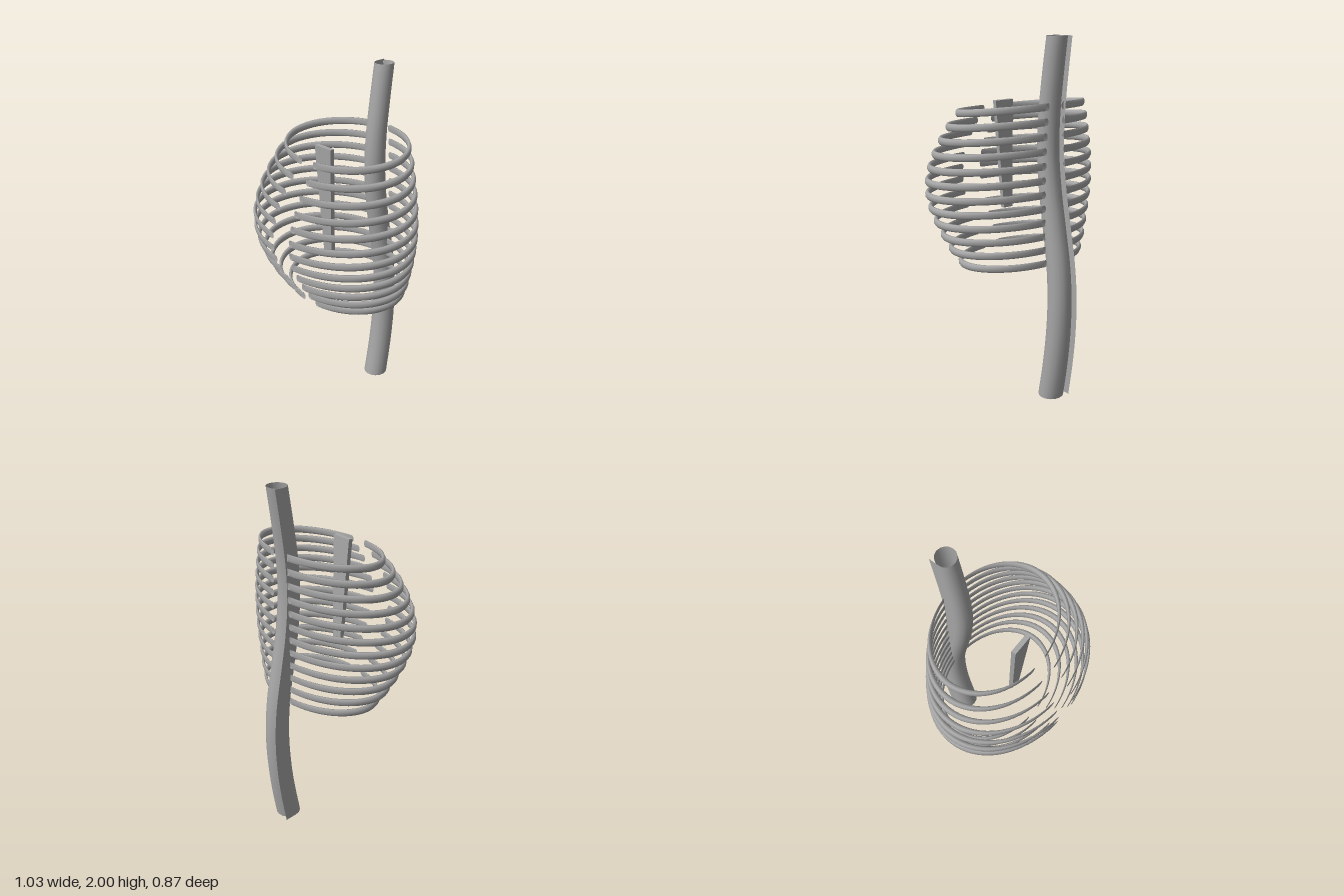
import * as THREE from 'three';

// Surface through a list of cross-sections, each an array of [x, y, z].
function loft(sections, closed) {
  const n = sections[0].length, index = [];
  const spans = closed ? n : n - 1;
  for (let i = 0; i < sections.length - 1; i++) {
    for (let j = 0; j < spans; j++) {
      const k = (j + 1) % n;
      const a = i * n + j, b = i * n + k, c = a + n, d = b + n;
      index.push(a, c, b, b, c, d);
    }
  }
  const g = new THREE.BufferGeometry();
  g.setAttribute('position', new THREE.Float32BufferAttribute(sections.flat(2), 3));
  g.setIndex(index);
  g.computeVertexNormals();
  return g;
}

// Curved column: an open ring whose last edge runs on as a straight flap.
function spineGeometry() {
  const path = new THREE.CatmullRomCurve3([
    [0, -0.305], [0.2, -0.338], [0.4, -0.36], [0.6, -0.366], [0.8, -0.35], [1, -0.314],
    [1.2, -0.278], [1.4, -0.258], [1.6, -0.263], [1.8, -0.286], [2, -0.315],
  ].map(([y, z]) => new THREE.Vector3(0, y, z)));
  const sections = path.getPoints(40).map((p) => {
    const r = 0.071 - 0.0085 * p.y;
    const ring = [];
    for (let j = 0; j <= 14; j++) {
      const a = Math.PI * (1.25 + 1.75 * j / 14);
      ring.push([r * Math.cos(a), p.y, p.z + r * Math.sin(a)]);
    }
    ring.push([-r, p.y, p.z - r]);
    return ring;
  });
  return loft(sections, false);
}

// Half-ellipse rib; its section stays upright in the x-y plane, so it thins toward the ends.
function ribGeometry(side, width, frontZ, backY, frontY) {
  const backZ = -0.312, t0 = 0.15, steps = 32, sections = [];
  const zc = (frontZ + backZ) / 2, depth = (frontZ - backZ) / 2 / Math.cos(t0);
  for (let i = 0; i <= steps; i++) {
    const t = t0 + (Math.PI - 2 * t0) * i / steps;
    const x = (width - 0.014) * Math.sin(t), z = zc - depth * Math.cos(t);
    const y = backY + (frontY - backY) * (z - backZ) / (frontZ - backZ);
    const ring = [];
    for (let j = 0; j < 8; j++) {
      const a = Math.PI * (j + 0.5) / 4;
      ring.push([side * (x + 0.015 * Math.cos(a)), y + 0.021 * Math.sin(a), z]);
    }
    sections.push(ring);
  }
  return loft(sections, true);
}

// Breastbone: a plate that narrows and leans back toward the bottom.
function breastboneGeometry() {
  const g = new THREE.BoxGeometry(1, 0.61, 0.026);
  const p = g.attributes.position;
  for (let i = 0; i < p.count; i++) {
    const top = p.getY(i) > 0;
    p.setX(i, p.getX(i) * (top ? 0.12 : 0.06));
    p.setZ(i, p.getZ(i) + (top ? 0.126 : 0.096));
  }
  g.translate(0, 1.33, 0);
  g.computeVertexNormals();
  return g;
}

export function createModel() {
  const model = new THREE.Group();
  model.name = 'ribCage';
  const bone = new THREE.MeshStandardMaterial({ color: 0xa6a6a6, side: THREE.DoubleSide });
  bone.name = 'greyBone';

  const add = (name, geometry, parent = model) => {
    const mesh = new THREE.Mesh(geometry, bone);
    mesh.name = name;
    parent.add(mesh);
  };

  add('spine', spineGeometry());
  add('breastbone', breastboneGeometry());

  // Twelve rib pairs, widest in the middle: [half width, front end z]
  const sizes = [[0.384, 0.245], [0.425, 0.3], [0.455, 0.35], [0.482, 0.39], [0.502, 0.42], [0.513, 0.437]];
  const ribs = new THREE.Group();
  ribs.name = 'ribs';
  model.add(ribs);
  for (let i = 0; i < 12; i++) {
    const [width, frontZ] = sizes[Math.min(i, 11 - i)];
    const backY = 1.647 - 0.0766 * i, frontY = 1.578 - 0.0741 * i;
    add('leftRib' + (i + 1), ribGeometry(1, width, frontZ, backY, frontY), ribs);
    add('rightRib' + (i + 1), ribGeometry(-1, width, frontZ, backY, frontY), ribs);
  }
  return model;
}
